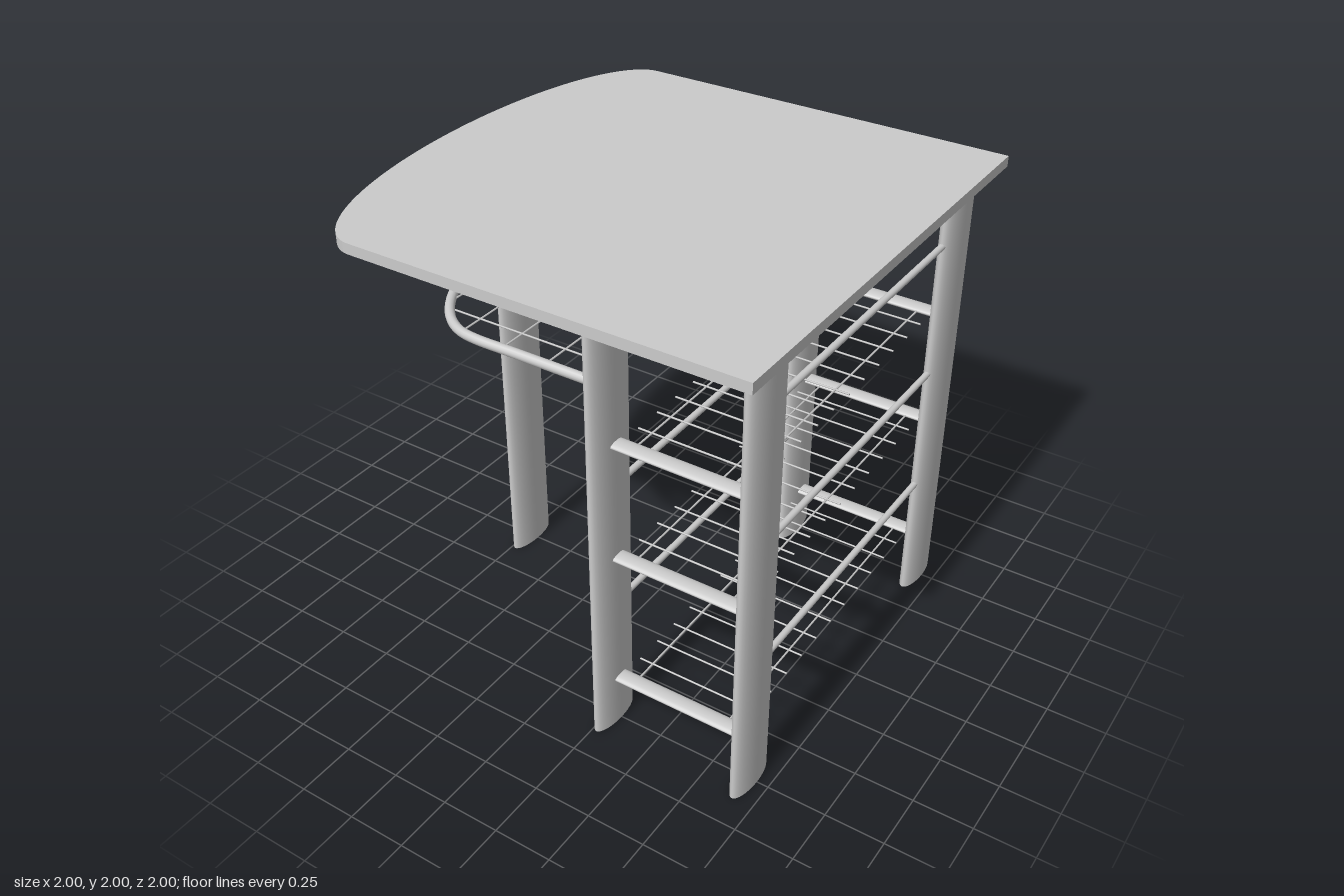
import * as THREE from 'three';

const material = new THREE.MeshStandardMaterial({ color: 0xcccccc });

export function createModel() {
  const model = new THREE.Group();

  function add(name, geometry, x = 0, y = 0, z = 0, parent = model) {
    const mesh = new THREE.Mesh(geometry, material);
    mesh.name = name;
    mesh.position.set(x, y, z);
    parent.add(mesh);
    return mesh;
  }

  // Straight round bars along x or z
  function barX(name, x0, x1, y, z, radius, parent, flatten = 1, sides = 8) {
    const g = new THREE.CylinderGeometry(radius, radius, x1 - x0, sides);
    g.rotateZ(Math.PI / 2).scale(1, 1, flatten);
    return add(name, g, (x0 + x1) / 2, y, z, parent);
  }
  function barZ(name, x, y, halfLength, radius, parent, sides = 8) {
    const g = new THREE.CylinderGeometry(radius, radius, halfLength * 2, sides);
    g.rotateX(Math.PI / 2);
    return add(name, g, x, y, 0, parent);
  }

  // Table top: square at one end, half ellipse at the other
  const top = new THREE.Shape();
  top.moveTo(-0.67, -1);
  top.lineTo(1, -1);
  top.lineTo(1, 1);
  top.lineTo(-0.67, 1);
  top.absellipse(-0.67, 0, 0.33, 1, Math.PI / 2, Math.PI * 1.5, false);
  const topGeometry = new THREE.ExtrudeGeometry(top, { depth: 0.045, bevelEnabled: false, curveSegments: 40 });
  topGeometry.rotateX(-Math.PI / 2);
  add('tableTop', topGeometry, 0, 1.955, 0);

  // Five oval legs
  const legX = [0.27, 0.91];
  const legZ = 0.75;
  const legHeight = 1.955;
  function leg(name, x, z) {
    const g = new THREE.CylinderGeometry(1, 1, legHeight, 32);
    g.scale(0.04, 1, 0.125);
    add(name, g, x, legHeight / 2, z);
  }
  for (const x of legX) {
    leg('frontLeg', x, legZ);
    leg('backLeg', x, -legZ);
  }
  leg('endLeg', -0.73, 0);

  // Round stretchers joining front and back legs
  for (const x of legX) {
    for (const y of [1.73, 1.14, 0.575]) barZ('stretcher', x, y, 0.66, 0.014, model, 16);
  }

  // Positions of the thin wires across the depth
  const wireZ = Array.from({ length: 11 }, (_, i) => (i - 5) * 0.125);

  // Three wire shelves on flattened rails
  for (const y of [1.365, 0.845, 0.23]) {
    const shelf = new THREE.Group();
    shelf.name = 'wireShelf';
    model.add(shelf);
    for (const z of [-legZ, legZ]) barX('shelfRail', 0.29, 0.89, y, z, 0.015, shelf, 2.5, 20);
    for (const x of [0.38, 0.8]) barZ('longWire', x, y, legZ, 0.004, shelf, 6);
    for (const z of wireZ) barX('crossWire', 0.32, 0.86, y, z, 0.004, shelf, 1, 6);
  }

  // Hoop shelf: bent tube with a wire grid inside
  const hoop = new THREE.Group();
  hoop.name = 'hoopShelf';
  hoop.position.y = 1.595;
  model.add(hoop);
  const bendX = -0.33;
  const bendDepth = 0.4;
  const points = [];
  for (const x of [0.26, 0.06, -0.14]) points.push(new THREE.Vector3(x, 0, legZ));
  for (let i = 0; i <= 16; i++) {
    const a = (i / 16) * Math.PI;
    points.push(new THREE.Vector3(bendX - bendDepth * Math.sin(a), 0, legZ * Math.cos(a)));
  }
  for (const x of [-0.14, 0.06, 0.26]) points.push(new THREE.Vector3(x, 0, -legZ));
  add('hoopTube', new THREE.TubeGeometry(new THREE.CatmullRomCurve3(points), 96, 0.02, 14), 0, 0, 0, hoop);

  for (const z of wireZ) {
    const end = bendX - bendDepth * Math.sqrt(1 - (z / legZ) ** 2);
    barX('hoopCrossWire', end, 0.24, 0, z, 0.004, hoop, 1, 6);
  }
  for (const x of [0.2, 0, -0.2, -0.4, -0.58]) {
    const t = Math.max(0, (bendX - x) / bendDepth);
    barZ('hoopLongWire', x, 0, legZ * Math.sqrt(1 - t * t), 0.004, hoop, 6);
  }

  return model;
}
